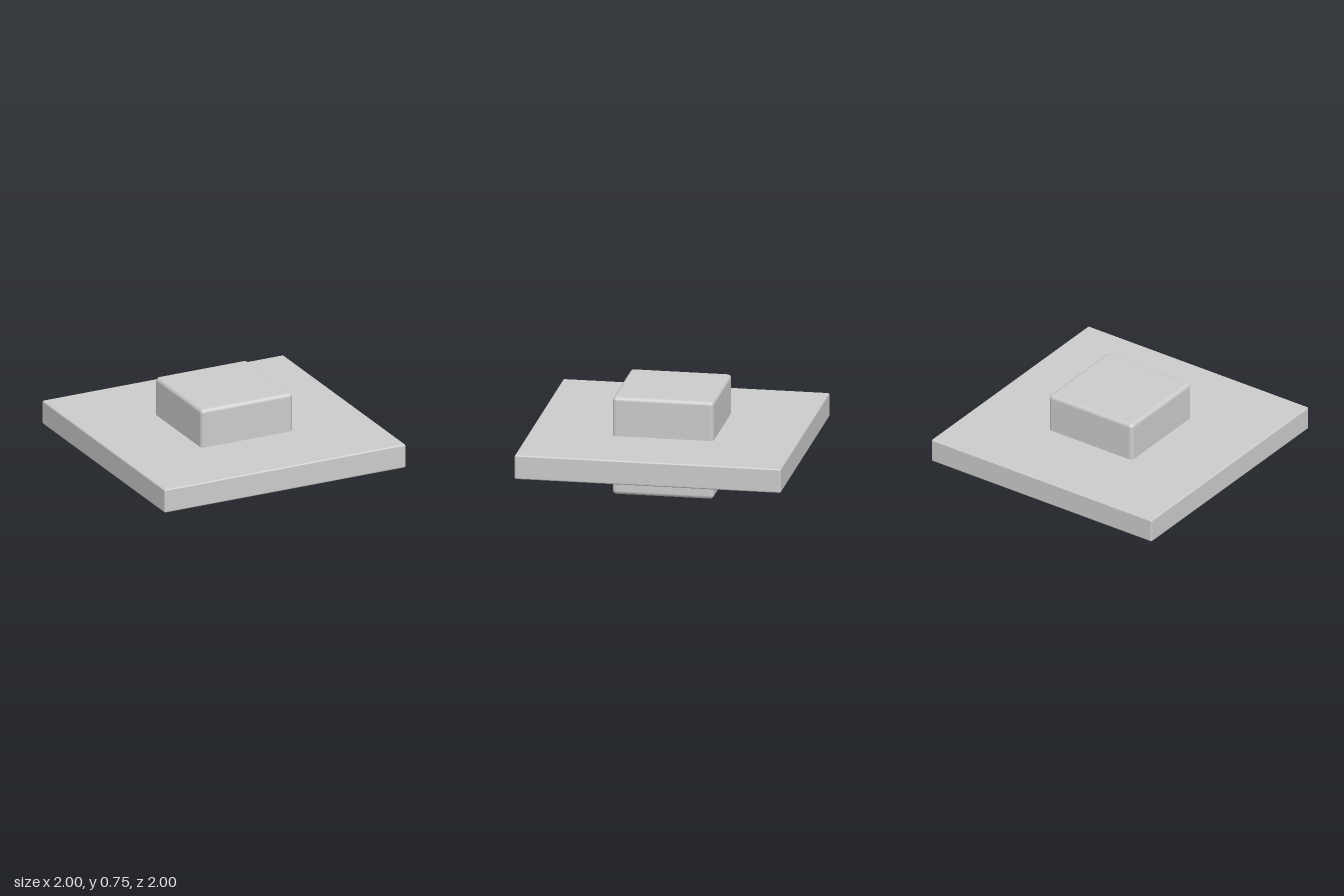
import * as THREE from 'three';
import { RoundedBoxGeometry } from 'three/addons/geometries/RoundedBoxGeometry.js';

export function createModel() {
  const group = new THREE.Group();
  const material = new THREE.MeshStandardMaterial({ color: 0xcccccc });

  // Square-footprint rounded block spanning two heights
  function addBlock(name, side, bottom, top, radius) {
    const geometry = new RoundedBoxGeometry(side, top - bottom, side, 4, radius);
    const mesh = new THREE.Mesh(geometry, material);
    mesh.name = name;
    mesh.position.y = (bottom + top) / 2;
    group.add(mesh);
  }

  // Core block passing through the plate
  addBlock('coreBlock', 0.76, 0, 0.75, 0.03);
  // Wide flat plate around the core
  addBlock('plate', 2, 0.267, 0.452, 0.012);

  return group;
}
